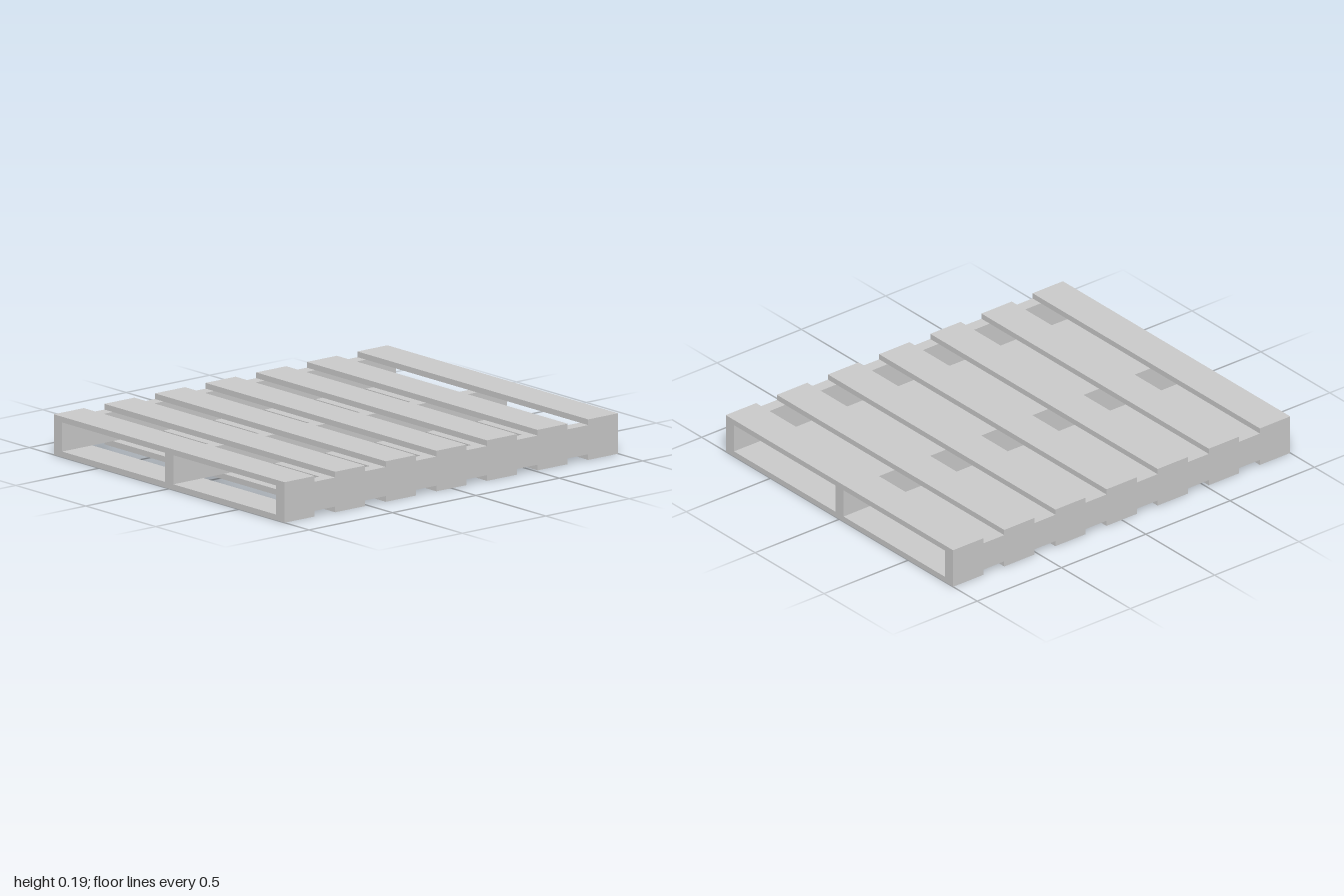
import * as THREE from 'three';

export function createModel() {
  const pallet = new THREE.Group();
  pallet.name = 'pallet';
  const material = new THREE.MeshStandardMaterial({ color: 0xcccccc, flatShading: true });

  const width = 1.65, length = 2, height = 0.192;
  const boardThickness = 0.027, boardDepth = 0.18, boardCount = 7;
  const stringerWidth = 0.06;

  function addBox(name, w, h, d, x, y, z) {
    const mesh = new THREE.Mesh(new THREE.BoxGeometry(w, h, d), material);
    mesh.name = name;
    mesh.position.set(x, y, z);
    pallet.add(mesh);
  }

  // Three stringers running front to back
  const sideX = (width - stringerWidth) / 2;
  const stringers = { rightStringer: -sideX, centreStringer: 0, leftStringer: sideX };
  for (const [name, x] of Object.entries(stringers)) {
    addBox(name, stringerWidth, height - 2 * boardThickness, length, x, height / 2, 0);
  }

  // Matching deck boards above and below, evenly spaced
  const spacing = (length - boardDepth) / (boardCount - 1);
  for (let i = 0; i < boardCount; i++) {
    const z = (i - (boardCount - 1) / 2) * spacing;
    addBox(`topBoard${i + 1}`, width, boardThickness, boardDepth, 0, height - boardThickness / 2, z);
    addBox(`bottomBoard${i + 1}`, width, boardThickness, boardDepth, 0, boardThickness / 2, z);
  }

  return pallet;
}
